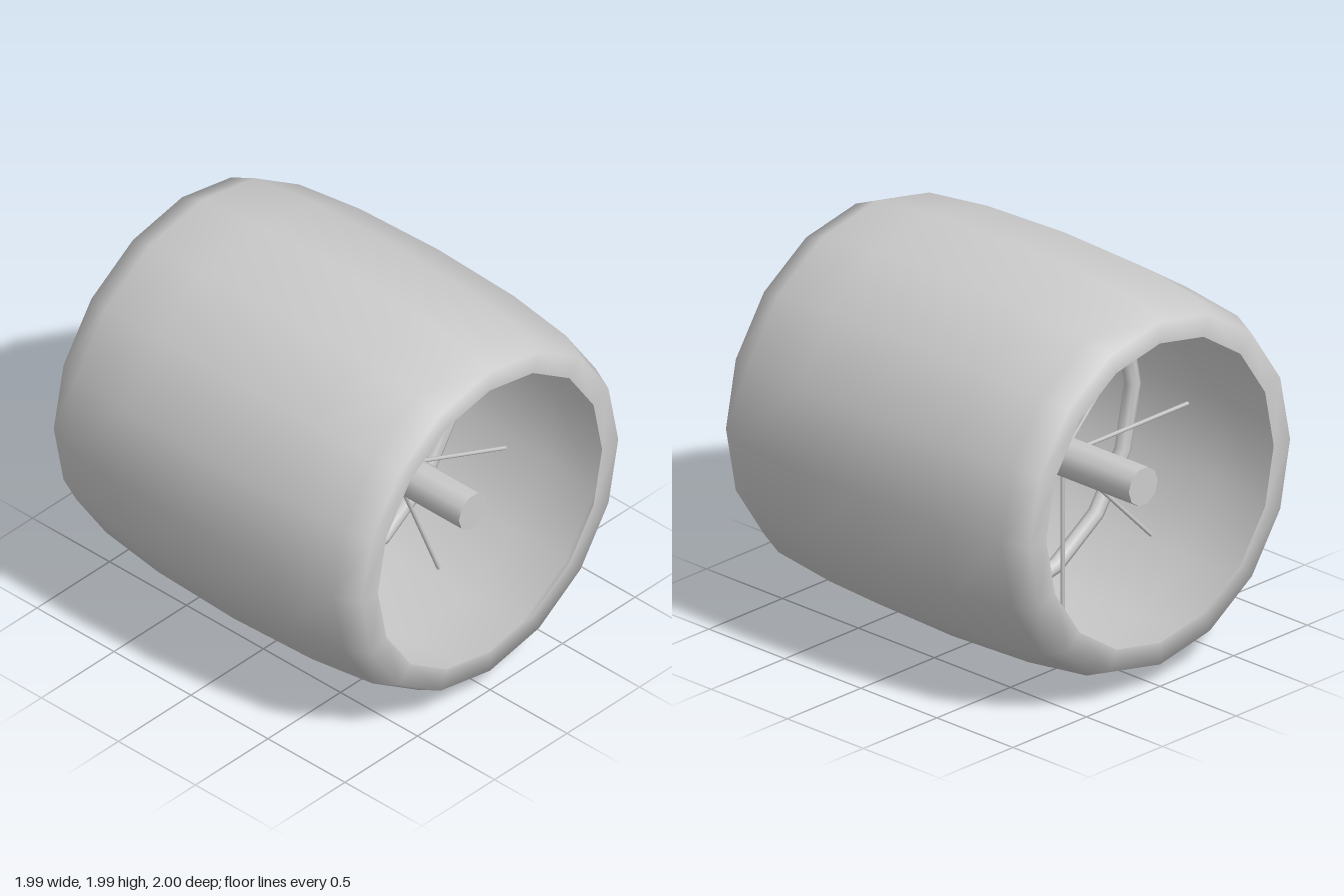
import * as THREE from 'three';

const SIDES = 16;
const material = new THREE.MeshStandardMaterial({ color: 0xcccccc });
const shellMaterial = new THREE.MeshStandardMaterial({ color: 0xcccccc, side: THREE.DoubleSide });

function addPart(parent, name, geometry, mat = material) {
  const mesh = new THREE.Mesh(geometry, mat);
  mesh.name = name;
  parent.add(mesh);
  return mesh;
}

export function createModel() {
  const model = new THREE.Group();
  model.name = 'wheel';

  // Everything turns about the z axis, raised so the tyre stands on the ground
  const wheel = new THREE.Group();
  wheel.name = 'wheelAssembly';
  wheel.position.y = 0.997;
  model.add(wheel);

  // Wide hollow tyre: half-ellipse tread with flat side walls, open in the middle
  const profile = [new THREE.Vector2(0.773, -1)];
  for (let i = -3; i <= 3; i++) {
    const a = (i * Math.PI) / 6;
    profile.push(new THREE.Vector2(0.884 + 0.113 * Math.cos(a), Math.sin(a)));
  }
  profile.push(new THREE.Vector2(0.773, 1));
  addPart(wheel, 'tyre', new THREE.LatheGeometry(profile, SIDES).rotateX(Math.PI / 2), shellMaterial);

  // Thin rim ring inside the tyre
  addPart(wheel, 'rim', new THREE.TorusGeometry(0.845, 0.04, 8, SIDES));

  // Long hub
  const hub = new THREE.CylinderGeometry(0.098, 0.098, 1.78, 10);
  hub.rotateY(Math.PI / 2).rotateX(Math.PI / 2);
  addPart(wheel, 'hub', hub);

  // Two staggered rows of eight spokes
  const spokeLength = 0.8;
  const spokeGeometry = new THREE.CylinderGeometry(0.01, 0.01, spokeLength, 6);
  spokeGeometry.translate(0, 0.05 + spokeLength / 2, 0);
  for (let i = 0; i < SIDES; i++) {
    const front = i % 2 === 1;
    const spoke = addPart(wheel, front ? 'frontSpoke' : 'backSpoke', spokeGeometry);
    spoke.rotation.z = (i / SIDES) * Math.PI * 2;
    spoke.position.z = front ? 0.36 : -0.36;
  }

  return model;
}
